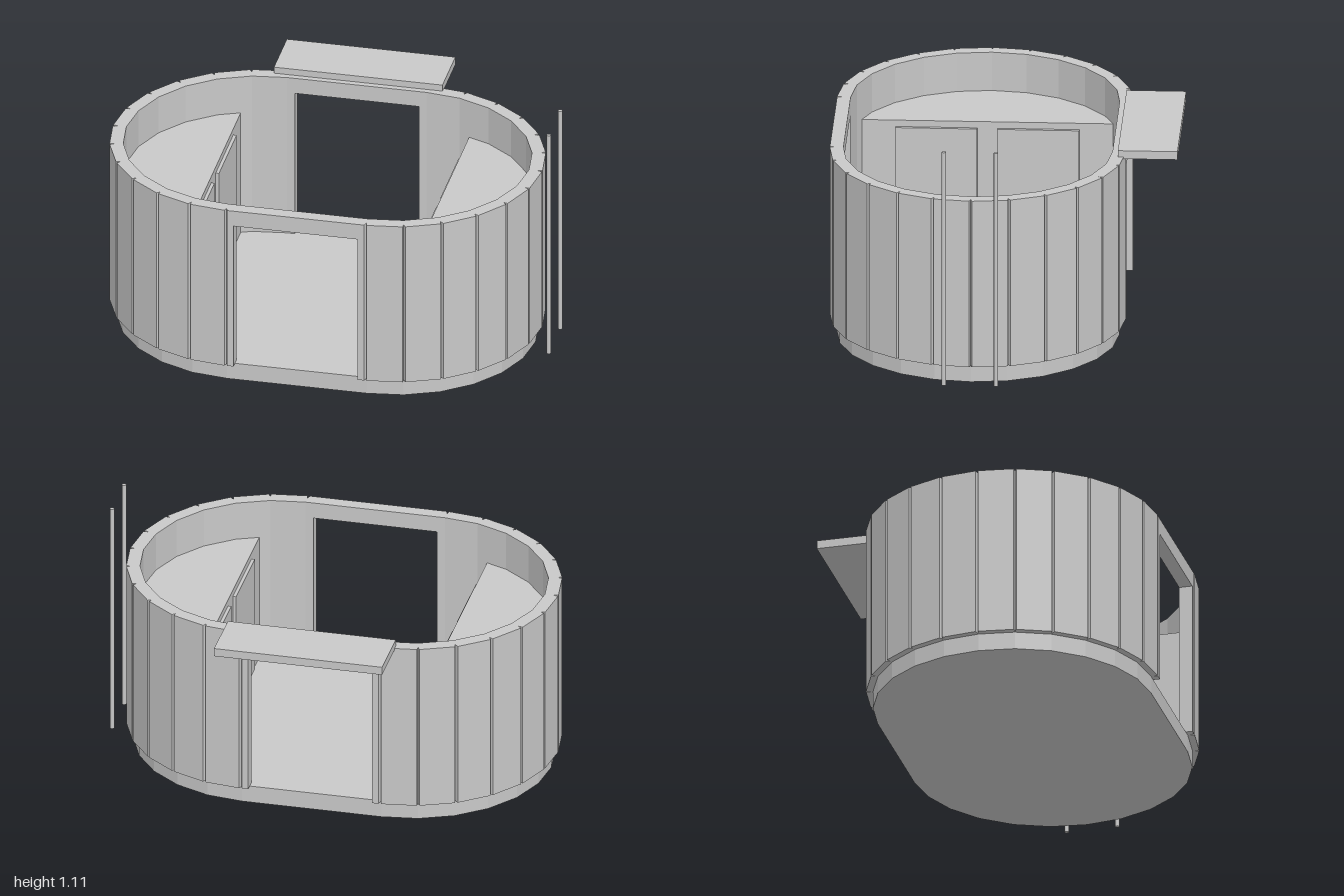
import * as THREE from 'three';

export function createModel() {
  const model = new THREE.Group();
  const grey = new THREE.MeshStandardMaterial({ color: 0xc8c8c8 });
  grey.name = 'plain grey';

  // Everything round shares one stadium plan: straight half-length, then 15 degree facets
  const HALF = 0.315, STEPS = 12, OUTER = 0.653, INNER = 0.593;
  const FLOOR = 0.08, TOP = 0.86, DOOR_HALF = 0.28, DOOR_TOP = 0.785;

  const room = new THREE.Group();
  room.name = 'room';
  room.position.set(-0.035, 0, 0.115);
  model.add(room);

  const add = (parent, name, geometry, x = 0, y = 0, z = 0) => {
    const mesh = new THREE.Mesh(geometry, grey);
    mesh.name = name;
    mesh.position.set(x, y, z);
    parent.add(mesh);
    return mesh;
  };
  const box = (parent, name, x0, x1, y0, y1, z0, z1) =>
    add(parent, name, new THREE.BoxGeometry(x1 - x0, y1 - y0, z1 - z0),
      (x0 + x1) / 2, (y0 + y1) / 2, (z0 + z1) / 2);
  // Upright prism from a plan outline
  const prism = (points, y0, y1) =>
    new THREE.ExtrudeGeometry(new THREE.Shape(points), { depth: y1 - y0, bevelEnabled: false })
      .rotateX(-Math.PI / 2).translate(0, y0, 0);

  // Half-round end of the plan, optionally with a narrow groove at each panel joint
  const arc = (radius, groove = 0) => {
    const points = [];
    for (let i = 0; i <= STEPS; i++) {
      const a = -Math.PI / 2 + (i / STEPS) * Math.PI;
      const c = Math.cos(a), s = Math.sin(a);
      const at = (r, t) => new THREE.Vector2(HALF + r * c - t * s, r * s + t * c);
      if (groove) points.push(at(radius, -0.006), at(radius - groove, 0), at(radius, 0.006));
      else points.push(at(radius, 0));
    }
    return points;
  };

  // Plinth with the floor on top
  const baseEnd = arc(0.623);
  add(room, 'base', prism([...baseEnd, ...baseEnd.map(p => p.clone().negate())], 0, FLOOR));

  // Curved wall ends, with a storage block and two doors inside each
  const wallPlan = [
    new THREE.Vector2(DOOR_HALF, -OUTER), ...arc(OUTER, 0.02), new THREE.Vector2(DOOR_HALF, OUTER),
    new THREE.Vector2(DOOR_HALF, INNER), ...arc(INNER).reverse(), new THREE.Vector2(DOOR_HALF, -INNER),
  ];
  const FRONT = 0.515;
  const edge = Math.sqrt(INNER ** 2 - (FRONT - HALF) ** 2) - 0.004;
  const storagePlan = [
    new THREE.Vector2(FRONT, -edge), ...arc(INNER).filter(p => p.x > FRONT), new THREE.Vector2(FRONT, edge),
  ];
  for (const side of ['left', 'right']) {
    const end = new THREE.Group();
    end.name = side + 'End';
    if (side === 'right') end.rotation.y = Math.PI;
    room.add(end);
    add(end, 'panelledWall', prism(wallPlan, FLOOR, TOP));
    add(end, 'storageBlock', prism(storagePlan, FLOOR, 0.68));
    for (const z of [-0.22, 0.22]) {
      // Doors sit evenly about the room's centre line
      const shift = Math.sign(z) * 0.005;
      box(end, 'storageDoor', FRONT - 0.015, FRONT, 0.1, 0.65, z - 0.18 + shift, z + 0.18 + shift);
    }
  }

  // Lintels over the front and back openings
  box(room, 'frontLintel', -DOOR_HALF, DOOR_HALF, DOOR_TOP, TOP, INNER, OUTER);
  box(room, 'backLintel', -DOOR_HALF, DOOR_HALF, DOOR_TOP, TOP, -OUTER, -INNER);

  // Flat canopy over the back opening
  box(model, 'canopy', -0.415, 0.345, 0.852, 0.89, -0.768, -0.505);

  // Free-standing poles beside the left end
  for (const z of [0, 0.23])
    add(model, 'pole', new THREE.CylinderGeometry(0.01, 0.01, 1.095, 10), 0.988, 0.5625, z);

  return model;
}
